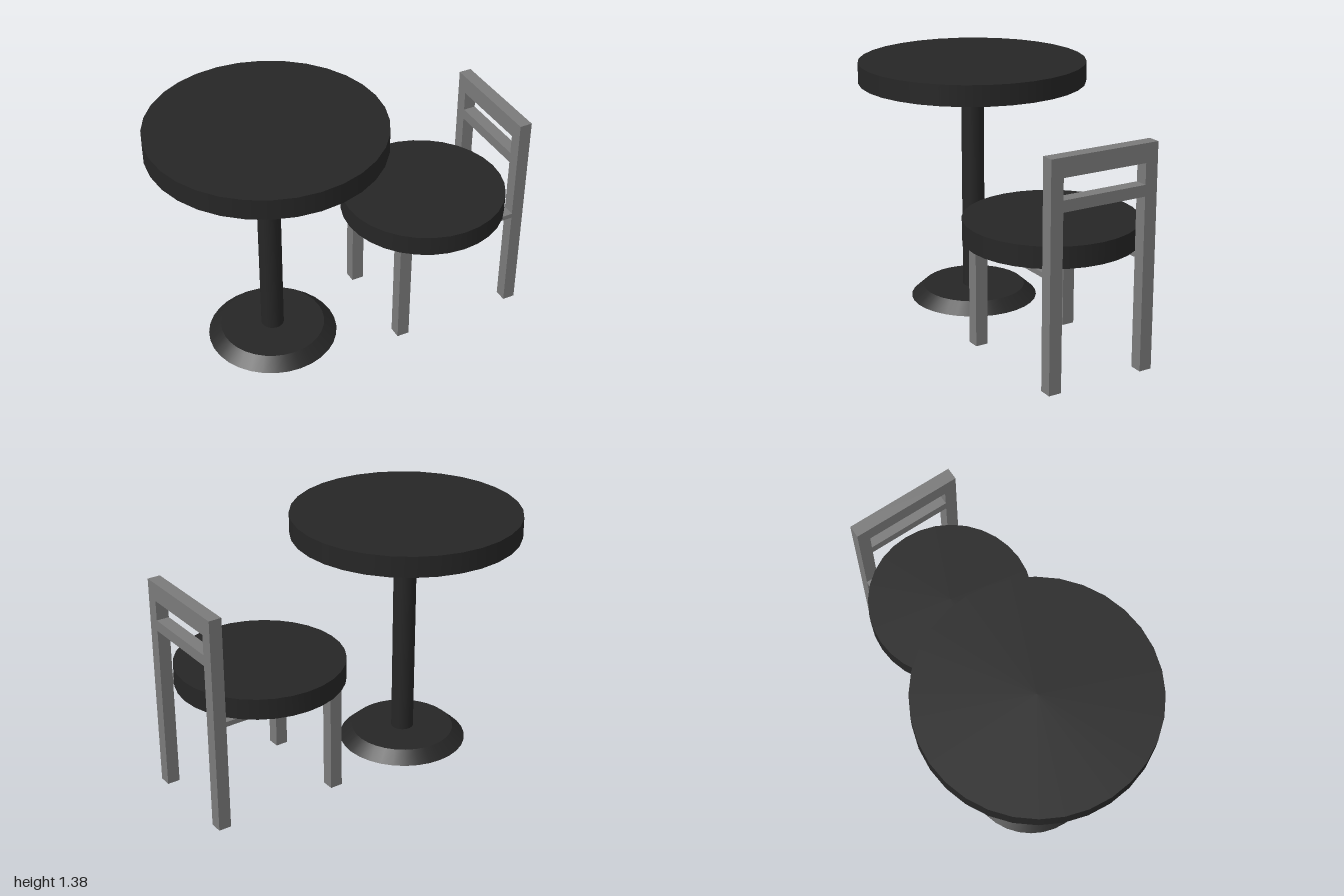
import * as THREE from 'three';

export function createModel() {
  const model = new THREE.Group();
  const black = new THREE.MeshStandardMaterial({ color: 0x262626 });
  black.name = 'black laminate';
  const grey = new THREE.MeshStandardMaterial({ color: 0x7a7a7a });
  grey.name = 'grey metal';

  const add = (parent, name, geometry, material, x, y, z) => {
    const mesh = new THREE.Mesh(geometry, material);
    mesh.name = name;
    mesh.position.set(x, y, z);
    parent.add(mesh);
  };
  // upright round part between two heights
  const disc = (parent, name, rTop, rBottom, y0, y1, x, z) =>
    add(parent, name, new THREE.CylinderGeometry(rTop, rBottom, y1 - y0, 32), black, x, (y0 + y1) / 2, z);
  // box given by its limits on each axis
  const bar = (parent, name, [x0, x1], [y0, y1], [z0, z1]) =>
    add(parent, name, new THREE.BoxGeometry(x1 - x0, y1 - y0, z1 - z0), grey,
      (x0 + x1) / 2, (y0 + y1) / 2, (z0 + z1) / 2);

  // Pedestal table
  const table = new THREE.Group();
  table.name = 'table';
  table.position.x = -0.37;
  disc(table, 'tableBase', 0.29, 0.36, 0, 0.063, 0, 0);
  disc(table, 'tableColumn', 0.063, 0.063, 0.063, 1.266, 0, 0);
  disc(table, 'tableTop', 0.63, 0.63, 1.266, 1.38, 0, 0);
  model.add(table);

  // Chair, centred on its own z = 0
  const chair = new THREE.Group();
  chair.name = 'chair';
  chair.position.z = 0.065;
  const outer = 0.309, inner = 0.239;
  const front = [0.228, 0.298], back = [0.93, 1];
  disc(chair, 'seat', 0.457, 0.457, 0.623, 0.737, 0.535, 0);

  for (const [side, z] of [['left', [inner, outer]], ['right', [-outer, -inner]]]) {
    bar(chair, side + 'FrontLeg', front, [0, 0.623], z);
    bar(chair, side + 'BackPost', back, [0, 1.2], z);
    bar(chair, side + 'SeatRail', [front[1], back[0]], [0.596, 0.623], z);
  }
  // Cross rails
  bar(chair, 'frontSeatRail', front, [0.596, 0.623], [-inner, inner]);
  bar(chair, 'lowerBackRail', back, [0.93, 0.99], [-inner, inner]);
  bar(chair, 'upperBackRail', back, [1.1, 1.2], [-inner, inner]);
  model.add(chair);

  return model;
}
